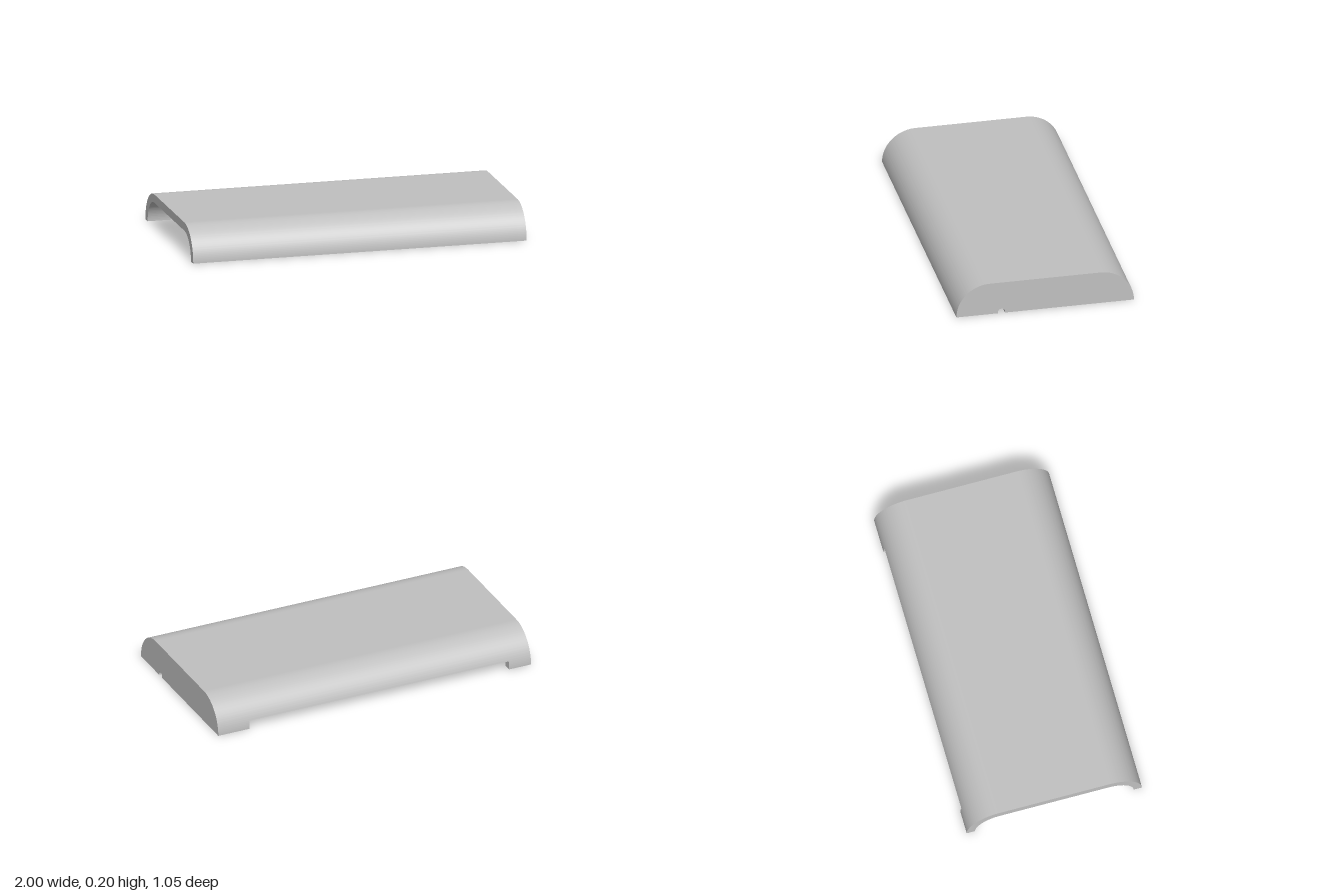
import * as THREE from 'three';
import { toCreasedNormals } from 'three/addons/utils/BufferGeometryUtils.js';

const HALF = 0.526;  // half depth
const H = 0.198;     // height and outer corner radius
const T = 0.05;      // wall thickness
const CUT = 0.05;    // height of the cutout in the back rim
const C = HALF - H;  // corner arc centre
const R = H - T;     // inner corner radius

export function createModel() {
  const group = new THREE.Group();
  group.name = 'coverShell';
  const grey = new THREE.MeshStandardMaterial({ color: 0xc0c0c0 });
  grey.name = 'grey';

  // Extrude a profile (horizontal = -z, vertical = y) from x0 to x1
  function addPart(name, shape, x0, x1) {
    const geo = new THREE.ExtrudeGeometry(shape, { depth: x1 - x0, bevelEnabled: false, curveSegments: 32 });
    geo.rotateY(Math.PI / 2);
    geo.translate(x0, 0, 0);
    const mesh = new THREE.Mesh(toCreasedNormals(geo, 0.5), grey);
    mesh.name = name;
    group.add(mesh);
  }

  const outerCut = Math.asin(CUT / H);
  const innerCut = Math.asin(CUT / R);

  // Curved cover, its back rim ending above the cutout
  const cover = new THREE.Shape();
  cover.absarc(C, 0, H, outerCut, Math.PI / 2, false);
  cover.absarc(-C, 0, H, Math.PI / 2, Math.PI, false);
  cover.lineTo(-C - R, 0);
  cover.absarc(-C, 0, R, Math.PI, Math.PI / 2, true);
  cover.absarc(C, 0, R, Math.PI / 2, innerCut, true);
  cover.closePath();
  addPart('cover', cover, -1, 1 - T);

  // Tabs at both ends of the back rim
  const tab = new THREE.Shape();
  tab.absarc(C, 0, H, 0, outerCut, false);
  tab.absarc(C, 0, R, innerCut, 0, true);
  tab.closePath();
  addPart('leftBackTab', tab, 0.8, 1 - T);
  addPart('rightBackTab', tab, -1, -0.86);

  // Closed end wall with a round-topped cable notch in its bottom edge
  const notchU = -0.259, notchR = 0.021, notchY = 0.007;
  const wall = new THREE.Shape();
  wall.moveTo(HALF, 0);
  wall.absarc(C, 0, H, 0, Math.PI / 2, false);
  wall.absarc(-C, 0, H, Math.PI / 2, Math.PI, false);
  wall.lineTo(notchU - notchR, 0);
  wall.lineTo(notchU - notchR, notchY);
  wall.absarc(notchU, notchY, notchR, Math.PI, 0, true);
  wall.lineTo(notchU + notchR, 0);
  wall.closePath();
  addPart('endWall', wall, 1 - T, 1);

  return group;
}
